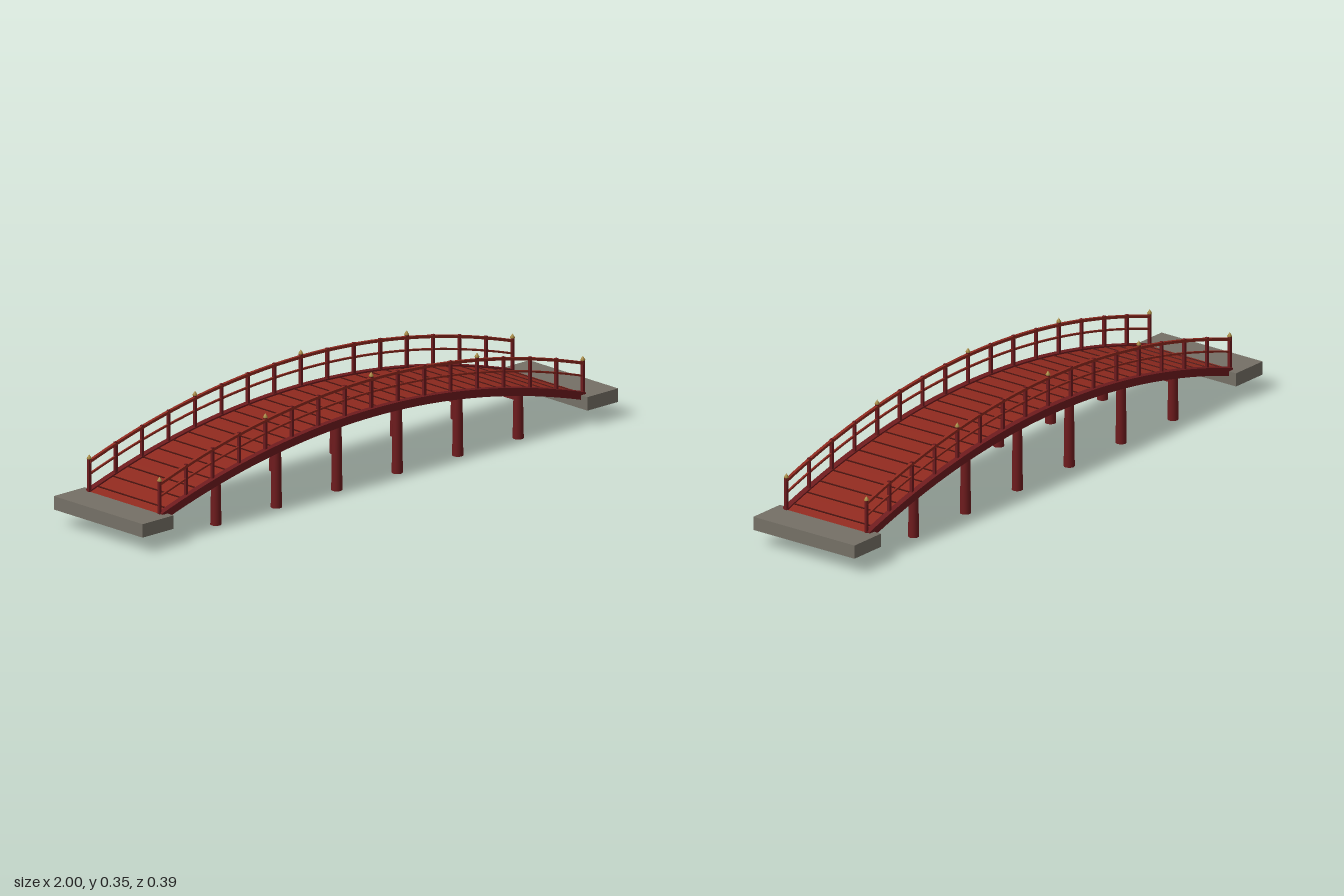
import * as THREE from 'three';

const HALF = 0.89;   // half span of the arch
const RISE = 0.142;
const CROWN = 0.235;
const RAIL_Z = 0.156;
const deckY = (x) => CROWN - RISE * (x / HALF) ** 2;

function material(name, color) {
  const m = new THREE.MeshStandardMaterial({ color });
  m.name = name;
  return m;
}

export function createModel() {
  const plankRed = material('plankRed', 0x8e291e);
  const timberRed = material('timberRed', 0x6e1b1d);
  const seamRed = material('seamRed', 0x4a1410);
  const stone = material('stone', 0x757066);
  const gold = material('gold', 0xa88a40);

  const model = new THREE.Group();
  model.name = 'archedBridge';

  function add(name, geometry, mat, x, y, z) {
    const mesh = new THREE.Mesh(geometry, mat);
    mesh.name = name;
    mesh.position.set(x, y, z);
    model.add(mesh);
    return mesh;
  }

  // Strip following the arch between two heights relative to the deck
  function arch(name, mat, low, high, width, z, steps = 48) {
    const shape = new THREE.Shape();
    for (let i = 0; i <= steps; i++) {
      const x = -HALF + (2 * HALF * i) / steps;
      if (i === 0) shape.moveTo(x, deckY(x) + low);
      else shape.lineTo(x, deckY(x) + low);
    }
    for (let i = steps; i >= 0; i--) {
      const x = -HALF + (2 * HALF * i) / steps;
      shape.lineTo(x, deckY(x) + high);
    }
    const geometry = new THREE.ExtrudeGeometry(shape, { depth: width, bevelEnabled: false });
    return add(name, geometry, mat, 0, 0, z - width / 2);
  }

  // Stone abutments
  for (const s of [-1, 1]) {
    add('abutment', new THREE.BoxGeometry(0.13, 0.043, 0.394), stone, s * 0.935, 0.0715, 0);
  }

  // Deck with thin dark seams standing just proud of it
  arch('deck', plankRed, -0.014, 0, 0.302, 0);
  const seams = 28;
  const seamGeometry = new THREE.BoxGeometry(0.004, 0.005, 0.3);
  for (let i = 0; i < seams; i++) {
    const x = -HALF + (2 * HALF * (i + 0.5)) / seams;
    const seam = add('deckSeam', seamGeometry, seamRed, x, deckY(x), 0);
    seam.rotation.z = Math.atan((-2 * RISE * x) / HALF ** 2);
  }

  // Finial profile: flared cap with a pointed top
  const finial = new THREE.LatheGeometry([
    new THREE.Vector2(0, 0), new THREE.Vector2(0.005, 0.0005), new THREE.Vector2(0.008, 0.003),
    new THREE.Vector2(0.004, 0.01), new THREE.Vector2(0, 0.016),
  ], 10);

  for (const s of [-1, 1]) {
    // Side beams and handrails
    arch('sideBeam', timberRed, -0.021, 0.005, 0.02, s * 0.16);
    arch('topRail', plankRed, 0.091, 0.1, 0.01, s * RAIL_Z);
    arch('middleRail', plankRed, 0.052, 0.058, 0.006, s * RAIL_Z);

    // Railing posts, every fourth one taller with a finial
    for (let i = 0; i <= 16; i++) {
      const x = -HALF + (2 * HALF * i) / 16;
      const tall = i % 4 === 0;
      const height = tall ? 0.115 : 0.112;
      const post = new THREE.BoxGeometry(0.009, height, 0.0095);
      add('railPost', post, timberRed, x, deckY(x) - 0.01 + height / 2, s * RAIL_Z);
      if (tall) add('finial', finial, gold, x, deckY(x) + 0.103, s * RAIL_Z);
    }
  }

  // Piers in pairs, tied by cross beams
  for (let i = 0; i < 6; i++) {
    const x = (i - 2.5) * ((2 * HALF) / 7);
    const top = deckY(x) - 0.012;
    for (const s of [-1, 1]) {
      add('pier', new THREE.CylinderGeometry(0.0145, 0.0172, top, 16), timberRed, x, top / 2, s * 0.1375);
    }
    add('crossBeam', new THREE.BoxGeometry(0.018, 0.018, 0.276), timberRed, x, top - 0.02, 0);
  }

  return model;
}
